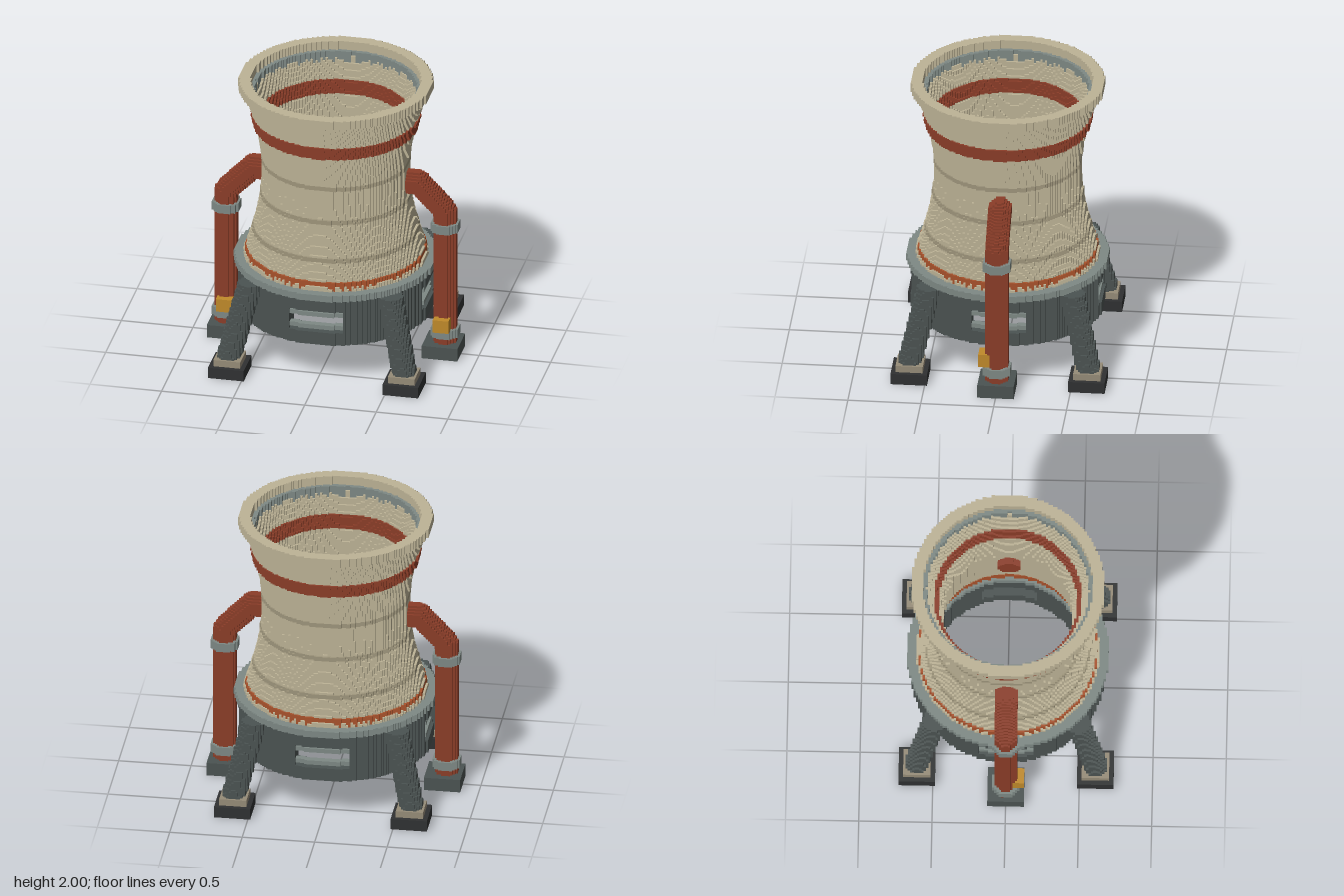
import * as THREE from 'three';

// Cube grid: every part is a rule that fills cells; only exposed faces are meshed
const V = 1 / 64;
const N = [112, 128, 112];
const ORIGIN = [-56, 0, -56];
const CREAM = 0xbdb396, RED = 0x8b3d28, ORANGE = 0xa9522b, STEEL = 0x7e8985;
const DARK = 0x4b5352, BLACK = 0x2f3132, TAN = 0x968c78, SHADE = 0x9f967c, YELLOW = 0xc08a2a;

const between = (v, a, b) => v >= a && v < b;

// Ring of cells between two radii
const ring = (y0, y1, inner, outer) => (x, y, z) =>
  between(y, y0, y1) && between(Math.hypot(x, z), inner, outer);

// Box mirrored in x (and optionally in z)
const box = (x0, x1, y0, y1, z0, z1, mirrorZ = false) => (x, y, z) =>
  between(Math.abs(x), x0, x1) && between(y, y0, y1) && between(mirrorZ ? Math.abs(z) : z, z0, z1);

// Distance from p to the segment a-b
function segmentDistance(p, a, b) {
  let dot = 0, len = 0, d = 0;
  for (let i = 0; i < 3; i++) {
    dot += (p[i] - a[i]) * (b[i] - a[i]);
    len += (b[i] - a[i]) ** 2;
  }
  const t = Math.min(1, Math.max(0, dot / len));
  for (let i = 0; i < 3; i++) d += (p[i] - a[i] - t * (b[i] - a[i])) ** 2;
  return Math.sqrt(d);
}

// Waisted tower profile
const towerRadius = (y) => Math.sqrt(0.25 + (y > 1.33 ? 0.395 : 0.355) * (y - 1.33) ** 2);
const towerBand = (y0, y1, inside, outside) => (x, y, z) => {
  const r = Math.hypot(x, z), R = towerRadius(y);
  return between(y, y0, y1) && between(r, R - inside, R + outside);
};

// Four window openings through the drum
const inWindow = (x, y, z) => between(y, 0.39, 0.55) && Math.min(Math.abs(x), Math.abs(z)) < 0.195;

const drumRing = ring(0.295, 0.64, 0.52, 0.663);
const slatRing = ring(0.4, 0.54, 0.6, 0.645);

// Side pipe centre line
const PIPE_X = 0.763;
const pipePath = [[PIPE_X, 0.05, 0], [PIPE_X, 1.08, 0], [0.58, 1.278, 0], [0.3, 1.278, 0]];
const collar = (y0, y1) => (x, y, z) =>
  between(y, y0, y1) && Math.hypot(Math.abs(x) - PIPE_X, z) < 0.098;

// Later parts replace earlier ones where they share cells
const parts = [
  ['towerShell', CREAM, towerBand(0.69, 1.94, 0.06, 0)],
  ['towerSeams', SHADE, (x, y, z) => [0.89, 1.15, 1.405].some((s) =>
    towerBand(s - 0.016, s + 0.016, 0.03, 0.003)(x, y, z))],
  ['redBand', RED, towerBand(1.65, 1.75, 0.068, 0.014)],
  ['innerRimRing', STEEL, ring(1.86, 1.94, 0.555, 0.585)],
  ['topRim', CREAM, ring(1.94, 2, 0.58, 0.66)],
  ['orangeBand', ORANGE, ring(0.69, 0.745, 0.54, 0.615)],
  ['baseDrum', DARK, (x, y, z) => drumRing(x, y, z) && !inWindow(x, y, z)],
  ['windowSlats', STEEL, (x, y, z) => inWindow(x, y, z) && slatRing(x, y, z) &&
    (between(y, 0.4, 0.437) || between(y, 0.5, 0.537))],
  ['slantedLegs', DARK, (x, y, z) => between(y, 0.12, 0.64) &&
    segmentDistance([Math.abs(x), y, Math.abs(z)], [0.63, 0.05, 0.63], [0.475, 0.7, 0.475]) < 0.08],
  ['baseRing', STEEL, ring(0.64, 0.695, 0.52, 0.69)],
  ['legFeet', BLACK, box(0.485, 0.74, 0, 0.08, 0.485, 0.74, true)],
  ['legPlinths', TAN, box(0.52, 0.705, 0.08, 0.127, 0.52, 0.705, true)],
  ['pipeFeet', DARK, box(0.62, 0.87, 0, 0.097, -0.125, 0.125)],
  ['sidePipes', RED, (x, y, z) => {
    const p = [Math.abs(x), y, z];
    return p[0] > 0.39 && y > 0.097 &&
      pipePath.slice(1).some((b, i) => segmentDistance(p, pipePath[i], b) < 0.078);
  }],
  ['upperPipeCollars', STEEL, collar(0.94, 0.998)],
  ['lowerPipeCollars', STEEL, collar(0.135, 0.196)],
  ['valveBoxes', YELLOW, box(0.71, 0.805, 0.196, 0.29, 0.05, 0.127)],
];

const cellIndex = (c) => (c[1] * N[2] + c[2]) * N[0] + c[0];

function fillCells() {
  const cells = new Uint8Array(N[0] * N[1] * N[2]);
  const c = [0, 0, 0];
  for (c[1] = 0; c[1] < N[1]; c[1]++)
    for (c[2] = 0; c[2] < N[2]; c[2]++)
      for (c[0] = 0; c[0] < N[0]; c[0]++) {
        const [x, y, z] = c.map((v, i) => (v + 0.5 + ORIGIN[i]) * V);
        for (let k = parts.length - 1; k >= 0; k--)
          if (parts[k][2](x, y, z)) { cells[cellIndex(c)] = k + 1; break; }
      }
  return cells;
}

// Exposed faces of all parts, merged into strips along one direction
function buildSurfaces(cells) {
  const out = parts.map(() => ({ position: [], normal: [] }));
  const at = (c) => (c.every((v, i) => v >= 0 && v < N[i]) ? cells[cellIndex(c)] : 0);
  for (let axis = 0; axis < 3; axis++) {
    const run = axis === 1 ? 0 : 1;
    const side = 3 - axis - run;
    for (const sign of [-1, 1]) {
      const exposed = (c) => {
        const id = at(c);
        if (!id) return 0;
        const next = c.slice();
        next[axis] += sign;
        return at(next) ? 0 : id;
      };
      const flip = ((run - axis + 3) % 3 === 1) !== (sign > 0);
      const normal = [0, 0, 0];
      normal[axis] = sign;
      const emit = (id, c, start, end) => {
        const corner = (u, w) => {
          const p = c.slice();
          p[axis] += sign > 0 ? 1 : 0;
          p[run] = u;
          p[side] += w;
          return p.map((v, i) => (v + ORIGIN[i]) * V);
        };
        const q = [corner(start, 0), corner(end, 0), corner(end, 1), corner(start, 1)];
        for (const i of flip ? [0, 2, 1, 0, 3, 2] : [0, 1, 2, 0, 2, 3]) {
          out[id - 1].position.push(...q[i]);
          out[id - 1].normal.push(...normal);
        }
      };
      const c = [0, 0, 0];
      for (let a = 0; a < N[axis]; a++)
        for (let s = 0; s < N[side]; s++) {
          c[axis] = a;
          c[side] = s;
          let current = 0, start = 0;
          for (let r = 0; r <= N[run]; r++) {
            c[run] = r;
            const id = r < N[run] ? exposed(c) : 0;
            if (id === current) continue;
            if (current) emit(current, c, start, r);
            current = id;
            start = r;
          }
        }
    }
  }
  return out;
}

export function createModel() {
  const group = new THREE.Group();
  group.name = 'coolingTower';
  buildSurfaces(fillCells()).forEach(({ position, normal }, k) => {
    const geometry = new THREE.BufferGeometry();
    geometry.setAttribute('position', new THREE.Float32BufferAttribute(position, 3));
    geometry.setAttribute('normal', new THREE.Float32BufferAttribute(normal, 3));
    const mesh = new THREE.Mesh(geometry, new THREE.MeshStandardMaterial({ color: parts[k][1] }));
    mesh.name = parts[k][0];
    group.add(mesh);
  });
  return group;
}
